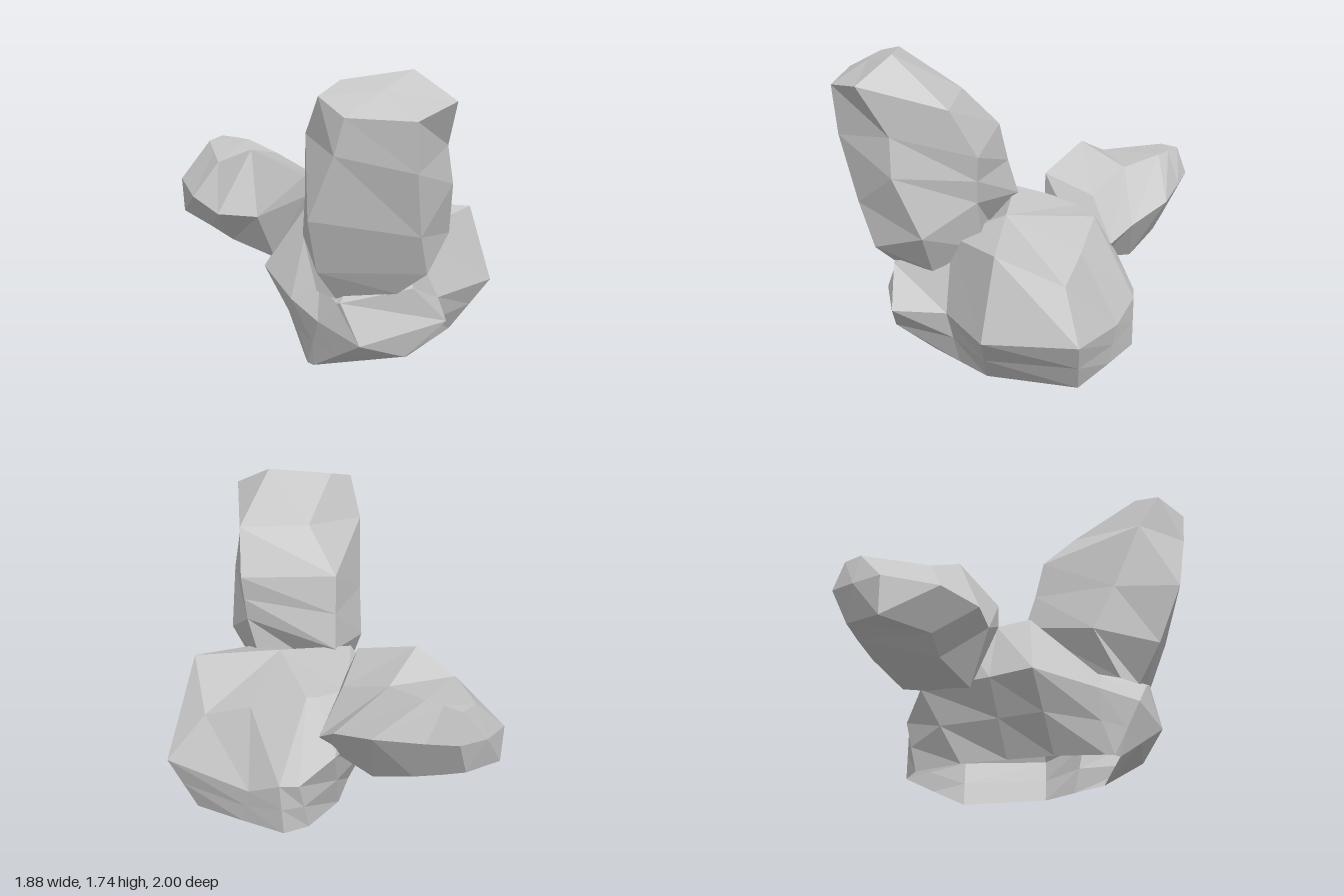
import * as THREE from 'three';

// Skin over columns of corners, listed counter-clockwise seen from the peak.
// The first end stays open; the last closes in a fan around the peak.
function shell(columns, peak) {
  const positions = [];
  const triangle = (a, b, c) => positions.push(...a, ...b, ...c);
  columns.forEach((column, i) => {
    const next = columns[(i + 1) % columns.length];
    const last = column.length - 1;
    for (let j = 0; j < last; j++) {
      triangle(column[j], next[j], column[j + 1]);
      triangle(next[j], next[j + 1], column[j + 1]);
    }
    triangle(column[last], next[last], peak);
  });
  const geometry = new THREE.BufferGeometry();
  geometry.setAttribute('position', new THREE.Float32BufferAttribute(positions, 3));
  geometry.computeVertexNormals();
  return geometry;
}

// Adds a chamfer corner halfway between foot and waist where a column has none
function withChamfer(column) {
  if (column.length === 4) return column;
  const [foot, waist, top] = column;
  return [foot, foot.map((v, k) => (v + waist[k]) / 2), waist, top];
}

// Repeats the shoulder corner where a column has only one
function withShoulder(column) {
  return column.length === 6 ? column : [...column.slice(0, 4), ...column.slice(3)];
}

export function createModel() {
  const group = new THREE.Group();
  group.name = 'rockCluster';
  const grey = new THREE.MeshStandardMaterial({
    color: 0xc5c5c5, flatShading: true, side: THREE.DoubleSide,
  });
  grey.name = 'stoneGrey';
  const add = (name, geometry) => {
    const mesh = new THREE.Mesh(geometry, grey);
    mesh.name = name;
    group.add(mesh);
  };

  // Tall boulder leaning forward: six columns from foot to cap
  add('tallRock', shell([
    // left
    [[-0.12, 0.47, 0.55], [-0.19, 0.75, 0.40], [-0.18, 1.02, 0.53],
      [-0.18, 1.42, 0.69], [-0.12, 1.65, 0.82]],
    // front
    [[-0.02, 0.47, 0.66], [-0.13, 0.68, 0.78], [-0.18, 1.02, 0.91],
      [-0.05, 1.38, 0.965], [0, 1.58, 0.98]],
    [[0.31, 0.51, 0.70], [0.46, 0.65, 0.77], [0.41, 0.90, 0.865],
      [0.37, 1.28, 0.97], [0.36, 1.56, 1.0]],
    // right
    [[0.49, 0.53, 0.44], [0.62, 0.77, 0.47], [0.605, 1.11, 0.63],
      [0.57, 1.33, 0.64], [0.585, 1.61, 0.81]],
    // back
    [[0.42, 0.65, 0.16], [0.50, 0.95, 0.18], [0.515, 1.08, 0.175],
      [0.53, 1.22, 0.17], [0.54, 1.48, 0.32], [0.38, 1.74, 0.65]],
    [[0, 0.60, 0.15], [-0.03, 0.83, 0.01], [-0.03, 1.03, 0.07],
      [-0.03, 1.25, 0.12], [0.13, 1.50, 0.31], [0, 1.70, 0.69]],
  ].map(withShoulder), [0.2, 1.67, 0.82]));

  // Wide hollow base: foot, (chamfer), waist and top of each column
  add('baseRock', shell([
    // left
    [[-0.17, 0, 0.17], [-0.41, 0.42, 0.06], [-0.12, 0.84, 0.04]],
    [[-0.18, 0, 0.45], [-0.26, 0.36, 0.41], [-0.10, 0.48, 0.45]],
    // front
    [[-0.17, 0, 0.50], [-0.12, 0.33, 0.65], [-0.02, 0.46, 0.70]],
    [[-0.14, 0, 0.53], [0.10, 0.24, 0.79], [0, 0.47, 0.72]],
    [[0.40, 0, 0.46], [0.36, 0.12, 0.69], [0.59, 0.32, 0.66], [0.40, 0.53, 0.68]],
    // right
    [[0.55, 0, 0.285], [0.59, 0.32, 0.35], [0.41, 0.71, 0.34]],
    [[0.70, 0, 0.11], [0.94, 0.32, 0.11], [0.81, 0.77, 0.05]],
    [[0.78, 0, -0.40], [0.94, 0.32, -0.41], [0.72, 0.57, -0.32]],
    // back
    [[0.50, 0.005, -0.56], [0.46, 0.23, -0.60], [0.45, 0.66, -0.39]],
    [[0.26, 0.01, -0.69], [0.28, 0.32, -0.69], [0.13, 0.755, -0.45]],
    [[0.12, 0.01, -0.62], [0.17, 0.32, -0.69], [0.07, 0.75, -0.44]],
    [[-0.05, 0, -0.35], [-0.03, 0.45, -0.59], [-0.08, 0.75, -0.36]],
    [[-0.11, 0, -0.09], [-0.28, 0.42, -0.18], [-0.11, 0.80, -0.15]],
  ].map(withChamfer), [0.30, 0.81, 0.045]));

  // Smaller boulder jutting out behind: columns run outwards from a buried core
  const core = [0.02, 0.58, -0.34];
  add('smallRock', shell([
    // front middle
    [[-0.16, 0.78, -0.14], [-0.45, 0.64, -0.175], [-0.69, 0.65, -0.21],
      [-0.85, 0.70, -0.40], [-0.94, 0.72, -0.70]],
    // upper ridges
    [[-0.16, 0.91, -0.14], [-0.48, 1.02, -0.34], [-0.69, 0.90, -0.47],
      [-0.725, 0.915, -0.65], [-0.76, 0.93, -0.84]],
    [[-0.07, 0.81, -0.43], [-0.32, 0.91, -0.61], [-0.50, 0.94, -0.82],
      [-0.59, 0.94, -0.88], [-0.68, 0.935, -0.94]],
    // back middle
    [[0.06, 0.56, -0.55], [-0.02, 0.65, -0.67], [-0.22, 0.73, -0.87],
      [-0.50, 0.75, -0.95], [-0.67, 0.77, -1.0]],
    // underside
    [[0, 0.45, -0.50], [-0.24, 0.37, -0.66], [-0.45, 0.46, -0.80],
      [-0.60, 0.51, -0.86], [-0.72, 0.55, -0.90]],
    [[-0.05, 0.45, -0.30], [-0.35, 0.33, -0.28], [-0.61, 0.40, -0.42],
      [-0.74, 0.48, -0.45], [-0.93, 0.50, -0.70]],
  ].map((column) => [core, ...column]), [-0.83, 0.73, -0.86]));

  return group;
}
